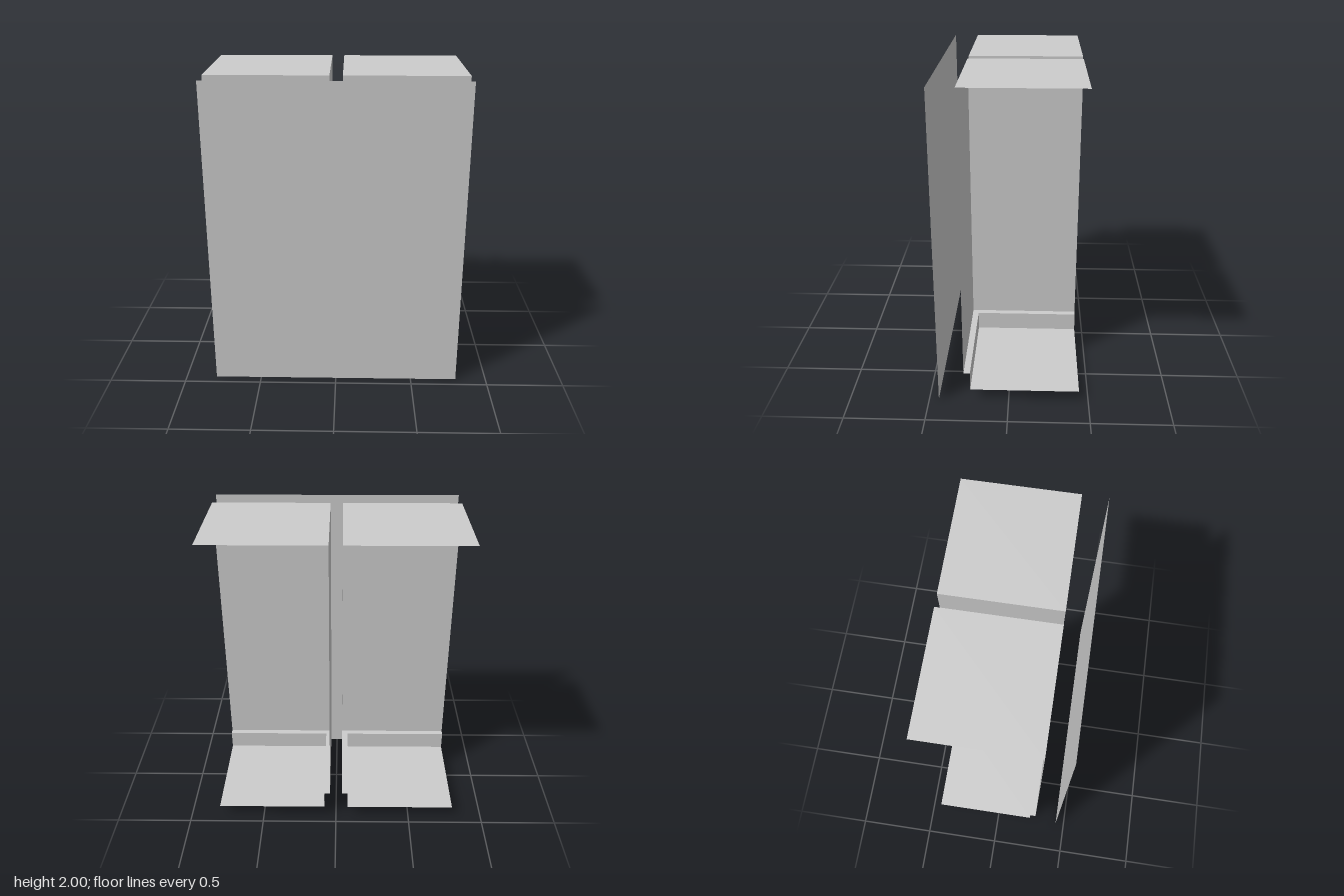
import * as THREE from 'three';

const grey = new THREE.MeshStandardMaterial({ color: 0xcccccc, side: THREE.DoubleSide });
grey.name = 'light grey';

// Flat sheet spanning two opposite corners; one of the three extents is zero
function sheet(name, [x0, y0, z0], [x1, y1, z1]) {
  const dx = Math.abs(x1 - x0), dy = Math.abs(y1 - y0), dz = Math.abs(z1 - z0);
  let geometry;
  if (dz === 0) geometry = new THREE.PlaneGeometry(dx, dy);
  else if (dy === 0) geometry = new THREE.PlaneGeometry(dx, dz).rotateX(-Math.PI / 2);
  else geometry = new THREE.PlaneGeometry(dz, dy).rotateY(Math.PI / 2);
  const mesh = new THREE.Mesh(geometry, grey);
  mesh.name = name;
  mesh.position.set((x0 + x1) / 2, (y0 + y1) / 2, (z0 + z1) / 2);
  return mesh;
}

// Open cabinet shell on a recessed plinth; side is +1 (left) or -1 (right)
function cabinet(side) {
  const group = new THREE.Group();
  group.name = side > 0 ? 'leftCabinet' : 'rightCabinet';
  const inner = 0.04 * side, plinth = 0.08 * side, outer = 0.8 * side;
  const back = -0.44, front = 0.28, plinthFront = 0.24;
  const floor = 0.08, ledge = 0.2, top = 2;
  group.add(
    // upper shell
    sheet('top', [inner, top, back], [outer, top, front]),
    sheet('cabinetFront', [inner, ledge, front], [outer, top, front]),
    sheet('innerSide', [inner, ledge, back], [inner, top, front]),
    // step between shell and plinth
    sheet('frontLedge', [inner, ledge, plinthFront], [outer, ledge, front]),
    sheet('sideLedge', [inner, ledge, back], [plinth, ledge, plinthFront]),
    // recessed plinth
    sheet('plinthFront', [plinth, floor, plinthFront], [outer, ledge, plinthFront]),
    sheet('plinthSide', [plinth, floor, back], [plinth, ledge, plinthFront]),
    sheet('floor', [plinth, floor, back], [outer, floor, plinthFront])
  );
  return group;
}

export function createModel() {
  const model = new THREE.Group();
  model.name = 'panelledCabinets';
  // Large panel standing free in front of both cabinets
  model.add(sheet('frontPanel', [-0.8, 0, 0.44], [0.8, 2, 0.44]));
  for (const side of [1, -1]) model.add(cabinet(side));
  return model;
}
